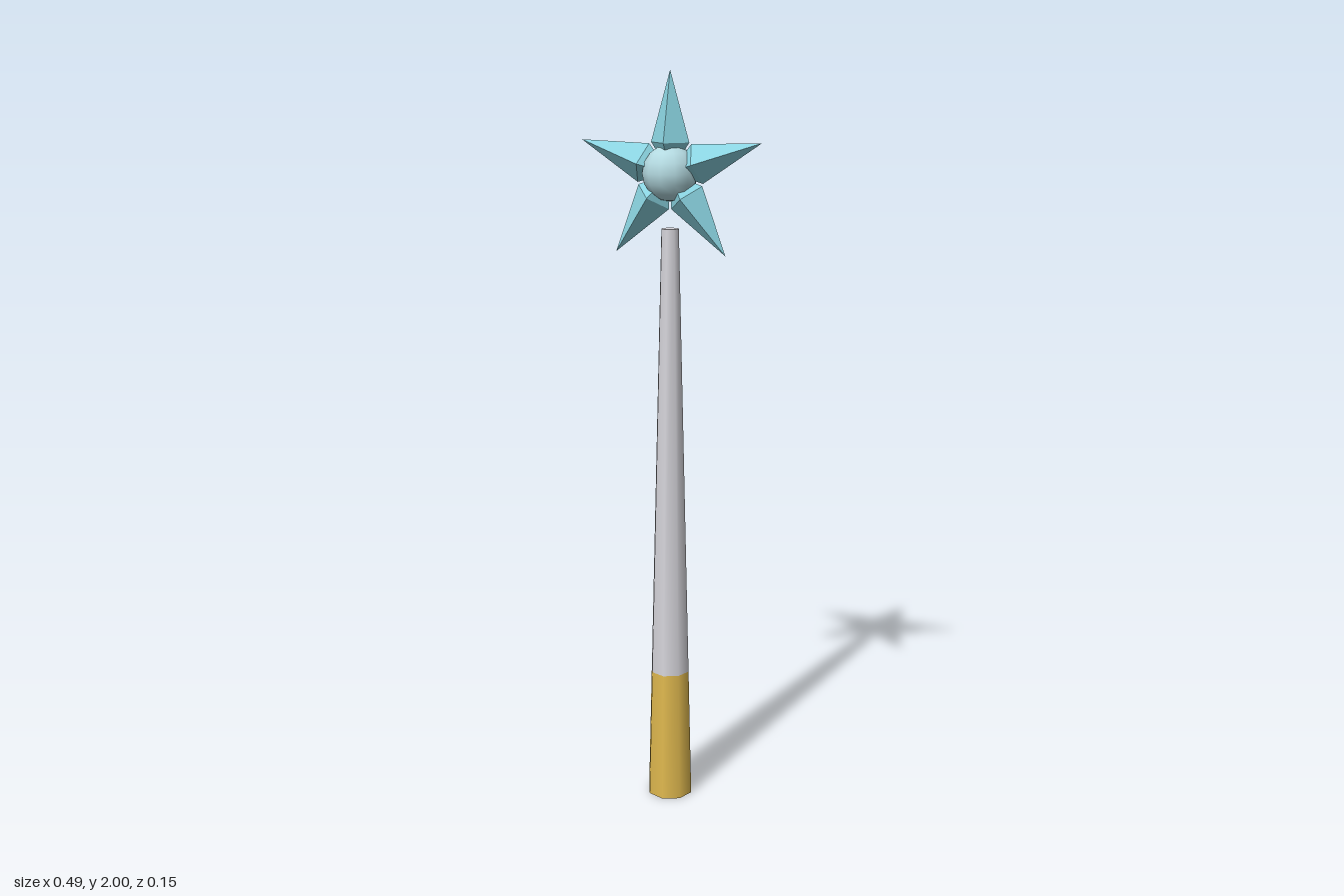
import * as THREE from 'three';

const paint = (name, color) => {
  const m = new THREE.MeshStandardMaterial({ color });
  m.name = name;
  return m;
};

export function createModel() {
  const gold = paint('gold', 0xe0b94f);
  const silver = paint('silver', 0xd7d6dc);
  const aqua = paint('aqua', 0x8ad3e0);
  aqua.flatShading = true;
  const paleBlue = paint('paleBlue', 0xb4dae1);

  const model = new THREE.Group();
  model.name = 'starWand';
  const add = (name, geometry, material, parent = model) => {
    const mesh = new THREE.Mesh(geometry, material);
    mesh.name = name;
    parent.add(mesh);
    return mesh;
  };

  // Tapered rod: one continuous taper split into grip and shaft
  const radiusAt = (y) => 0.064 + (0.024 - 0.064) * (y / 1.6);
  const rod = (name, y0, y1, material) => {
    const g = new THREE.CylinderGeometry(radiusAt(y1), radiusAt(y0), y1 - y0, 8);
    add(name, g, material).position.y = (y0 + y1) / 2;
  };
  rod('grip', 0, 0.37, gold);
  rod('shaft', 0.37, 1.6, silver);

  // Star head floating above the shaft
  const star = new THREE.Group();
  star.name = 'star';
  star.position.y = 1.743;
  model.add(star);

  const core = new THREE.SphereGeometry(0.073, 12, 8);
  add('core', core, paleBlue, star);

  // Five four-sided spikes, each tapering back to the star's centre
  const profile = [[0, 0], [0.052, 0.077], [0, 0.257]].map(([x, y]) => new THREE.Vector2(x, y));
  const spike = new THREE.LatheGeometry(profile, 4);
  for (let i = 0; i < 5; i++) {
    add('spike' + (i + 1), spike, aqua, star).rotation.z = (i * Math.PI * 2) / 5;
  }
  return model;
}
